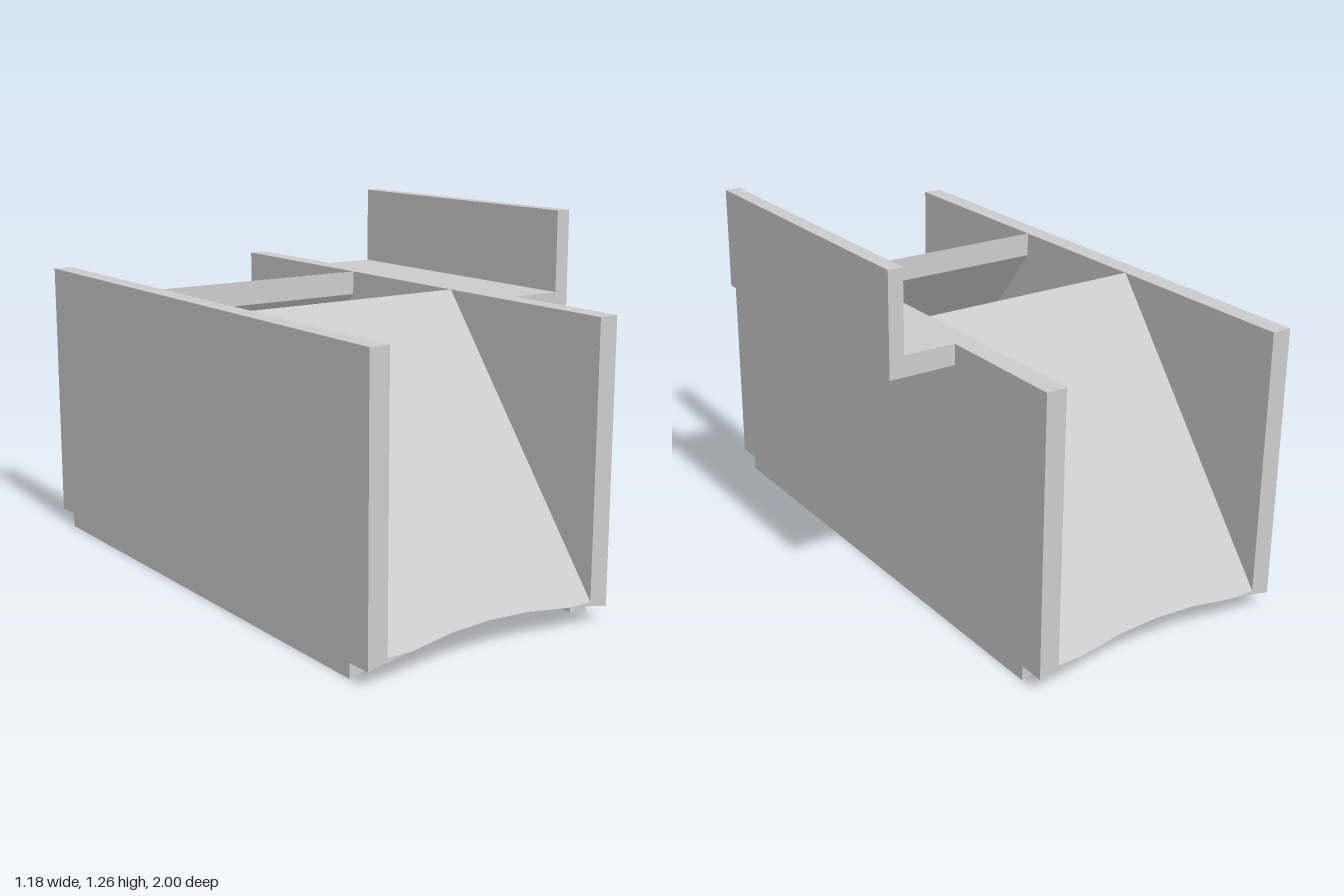
import * as THREE from 'three';

const CX = -0.117;          // centre line of the trough
const INNER = 0.402;        // half width between the walls
const WALL = 0.07;          // wall thickness
const TOP = 0.99;

// Side wall: long notched plate whose underside slopes up towards the middle
function wallGeometry() {
  const s = new THREE.Shape();
  [[-0.91, 0], [0.91, 0], [0.91, 0.05], [1, 0.05], [1, TOP], [-1, TOP], [-1, 0.05], [-0.91, 0.05]]
    .forEach(([z, y], i) => (i ? s.lineTo(z, y) : s.moveTo(z, y)));
  const g = new THREE.ExtrudeGeometry(s, { depth: WALL, bevelEnabled: false });
  g.rotateY(-Math.PI / 2);
  const p = g.attributes.position;
  for (let i = 0; i < p.count; i++) {
    if (p.getY(i) < 0.06) p.setY(i, p.getY(i) + 0.21 * (p.getX(i) + WALL));
  }
  g.computeVertexNormals();
  return g;
}

// Sloping end plate: cross-sections in z and y, cut below by a shallow arc
function rampGeometry() {
  const slope = 1.275, foot = 0.078, thick = 0.085, topZ = 0.285, R = 2.2;
  const sections = [-INNER, -0.31, -0.15, 0, 0.15, 0.31, INNER].map((x) => {
    const b = 0.1 - (R - Math.sqrt(R * R - x * x));
    const knee = Math.max(b, foot);
    const kneeZ = 1 - (knee - foot) / slope;
    return [
      [kneeZ, b], [kneeZ, knee], [topZ, TOP], [topZ, TOP - thick],
      [1 - (b + thick - foot) / slope, b],
    ].map(([z, y]) => [x, y, z]);
  });
  const pos = [];
  for (let i = 0; i < sections.length - 1; i++) {
    for (let j = 0; j < 5; j++) {
      const k = (j + 1) % 5;
      const a = sections[i][j], b = sections[i + 1][j];
      const c = sections[i + 1][k], d = sections[i][k];
      pos.push(...a, ...b, ...c, ...a, ...c, ...d);
    }
  }
  const g = new THREE.BufferGeometry();
  g.setAttribute('position', new THREE.Float32BufferAttribute(pos, 3));
  g.computeVertexNormals();
  return g;
}

// L-shaped side rail, flush with the wall top
function railGeometry() {
  const s = new THREE.Shape();
  [[0.355, 0.92], [0.587, 0.92], [0.587, 1.265], [0.535, 1.265], [0.535, TOP], [0.355, TOP]]
    .forEach(([x, y], i) => (i ? s.lineTo(x, y) : s.moveTo(x, y)));
  const g = new THREE.ExtrudeGeometry(s, { depth: 1.07, bevelEnabled: false });
  g.translate(0, 0, -0.535);
  return g;
}

export function createModel() {
  const model = new THREE.Group();
  const grey = new THREE.MeshStandardMaterial({ color: 0xcccccc });
  grey.name = 'light grey';
  const add = (parent, name, geometry) => {
    const m = new THREE.Mesh(geometry, grey);
    m.name = name;
    parent.add(m);
    return m;
  };

  // Walls and ramps repeat by a half turn about the centre line
  const trough = new THREE.Group();
  trough.name = 'trough';
  trough.position.x = CX;
  model.add(trough);
  const wall = wallGeometry();
  add(trough, 'rightWall', wall).position.x = -INNER;
  const left = add(trough, 'leftWall', wall);
  left.position.x = INNER;
  left.rotation.y = Math.PI;
  const ramp = rampGeometry();
  add(trough, 'frontRamp', ramp);
  add(trough, 'backRamp', ramp).rotation.y = Math.PI;

  add(model, 'sideRail', railGeometry());
  return model;
}
